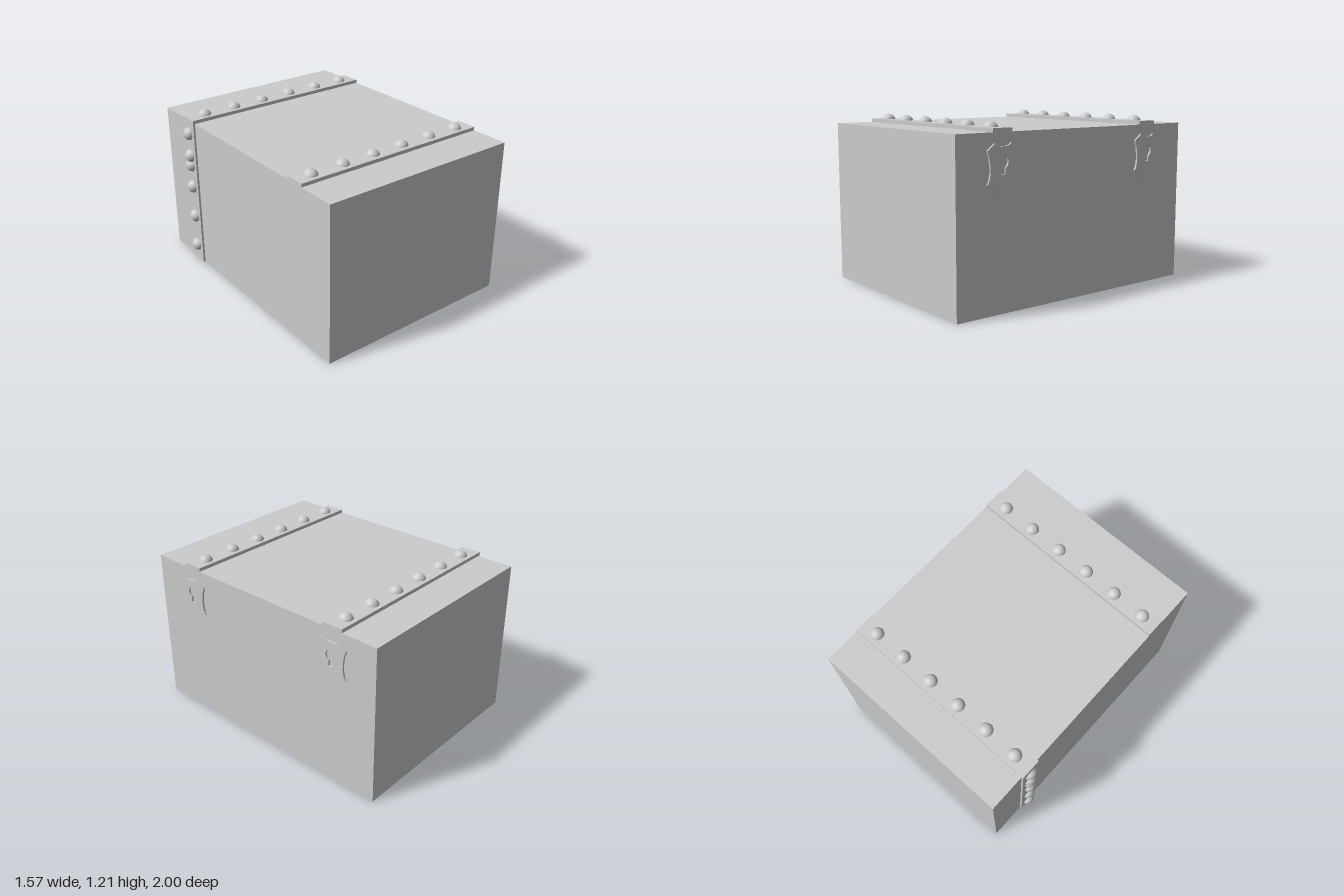
import * as THREE from 'three';

const iron = new THREE.MeshStandardMaterial({ color: 0xcccccc });
iron.name = 'light grey';

export function createModel() {
  const chest = new THREE.Group();
  chest.name = 'chest';

  function add(name, geometry, x, y, z) {
    const mesh = new THREE.Mesh(geometry, iron);
    mesh.name = name;
    mesh.position.set(x, y, z);
    chest.add(mesh);
    return mesh;
  }

  // Plain box body
  add('body', new THREE.BoxGeometry(1.5, 1.15, 2), 0.02, 0.575, 0);

  // Straps over the lid, and one down the side
  add('frontLidStrap', new THREE.BoxGeometry(1.5, 0.025, 0.15), 0.02, 1.1625, 0.645);
  add('backLidStrap', new THREE.BoxGeometry(1.515, 0.025, 0.15), 0.0125, 1.1625, -0.655);
  add('sideStrap', new THREE.BoxGeometry(0.015, 1.15, 0.15), -0.7375, 0.575, -0.655);

  // Round studs on the straps
  const stud = new THREE.SphereGeometry(0.05, 32, 20);
  for (const z of [0.645, -0.655]) {
    for (let i = 0; i < 6; i++) add('lidStud', stud, -0.605 + i * 0.25, 1.163, z);
  }
  for (const y of [0.13, 0.38, 0.63, 0.805, 0.88, 1.055]) add('sideStud', stud, -0.735, y, -0.655);

  // Lock plate: half outline from top centre to bottom tip, mirrored
  const half = [
    [0.02, 0.143], [0.042, 0.148], [0.065, 0.163], [0.123, 0.12], [0.108, 0.075],
    [0.1, 0.025], [0.1, -0.02], [0.108, -0.065], [0.123, -0.09],
  ];
  const outline = [
    ...half, [0, -0.172],
    ...half.map(([x, y]) => [-x, y]).reverse(),
  ].map(([x, y]) => new THREE.Vector2(x, y));
  const plateShape = new THREE.Shape(outline);

  // Keyhole: round head with a narrow slot
  const keyhole = new THREE.Path();
  keyhole.moveTo(-0.016, -0.03);
  keyhole.lineTo(0.016, -0.03);
  keyhole.lineTo(0.016, 0.01);
  keyhole.absarc(0, 0.046, 0.04, -1.16, Math.PI + 1.16, false);
  keyhole.closePath();
  plateShape.holes.push(keyhole);

  const plate = new THREE.ExtrudeGeometry(plateShape, {
    depth: 0.013, bevelEnabled: false, curveSegments: 24,
  });
  plate.rotateY(Math.PI / 2);
  for (const z of [0.65, -0.65]) add('lockPlate', plate, 0.77, 0.92, z);

  return chest;
}
